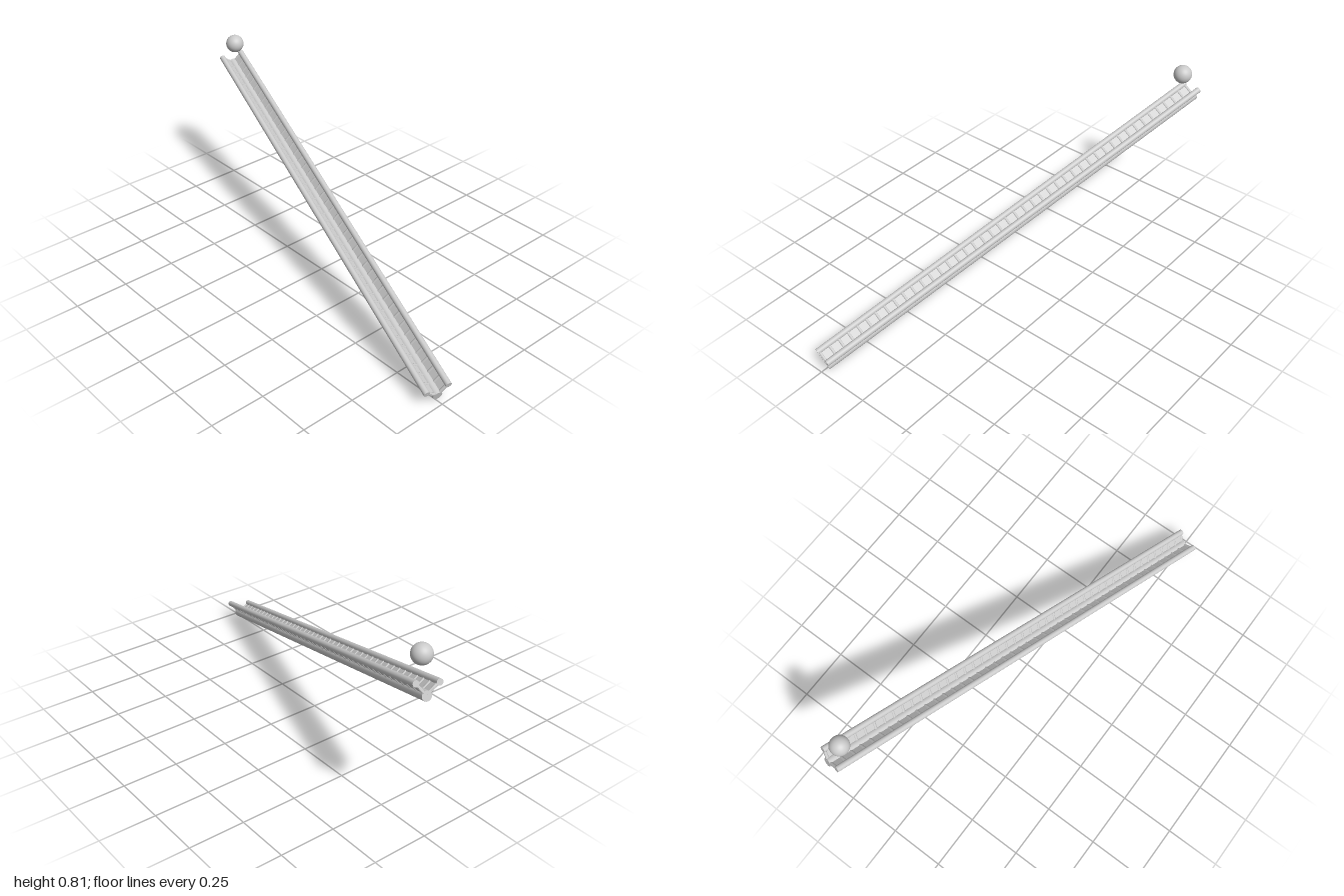
import * as THREE from 'three';

const material = new THREE.MeshStandardMaterial({ color: 0xcccccc });

// Lower ends of the three rails, and the shared run up the slope
const FRONT = new THREE.Vector3(0.966, 0.06, 0.305);
const BACK = new THREE.Vector3(0.994, 0.073, 0.212);
const BASE = new THREE.Vector3(0.970, 0.021, 0.246);
const RUN = new THREE.Vector3(-1.96, 0.615, -0.515);
const RIBS = 45;

function add(parent, name, geometry) {
  const mesh = new THREE.Mesh(geometry, material);
  mesh.name = name;
  parent.add(mesh);
  return mesh;
}

// Round bar between two points
function bar(parent, name, a, b, radius, sides) {
  const dir = b.clone().sub(a);
  const mesh = add(parent, name, new THREE.CylinderGeometry(radius, radius, dir.length(), sides));
  mesh.position.copy(a).add(b).multiplyScalar(0.5);
  mesh.quaternion.setFromUnitVectors(new THREE.Vector3(0, 1, 0), dir.normalize());
}

// Thin trough wall between two parallel rails
function wall(parent, name, a, b) {
  const along = RUN.clone().normalize();
  const across = b.clone().sub(a);
  across.addScaledVector(along, -across.dot(along));
  const width = across.length();
  across.normalize();
  const normal = new THREE.Vector3().crossVectors(along, across);
  const mesh = add(parent, name, new THREE.BoxGeometry(RUN.length(), width, 0.006));
  mesh.quaternion.setFromRotationMatrix(new THREE.Matrix4().makeBasis(along, across, normal));
  mesh.position.copy(a).add(b).add(RUN).multiplyScalar(0.5);
}

export function createModel() {
  const group = new THREE.Group();
  group.name = 'rampWithBall';

  // Rails
  bar(group, 'frontRail', FRONT, FRONT.clone().add(RUN), 0.0135, 24);
  bar(group, 'backRail', BACK, BACK.clone().add(RUN), 0.0135, 24);
  bar(group, 'baseRail', BASE, BASE.clone().add(RUN), 0.021, 24);

  // V-shaped trough with cross ribs
  wall(group, 'frontWall', FRONT, BASE);
  wall(group, 'backWall', BACK, BASE);
  const ribs = new THREE.Group();
  ribs.name = 'crossRibs';
  group.add(ribs);
  for (let i = 0; i < RIBS; i++) {
    const offset = RUN.clone().multiplyScalar((i + 0.15) / (RIBS - 0.7));
    const base = BASE.clone().add(offset);
    bar(ribs, 'frontRib', FRONT.clone().add(offset), base, 0.007, 10);
    bar(ribs, 'backRib', BACK.clone().add(offset), base, 0.007, 10);
  }

  // Ball hovering over the upper end
  add(group, 'ball', new THREE.SphereGeometry(0.043, 32, 24)).position.set(-0.92, 0.768, -0.236);

  return group;
}
